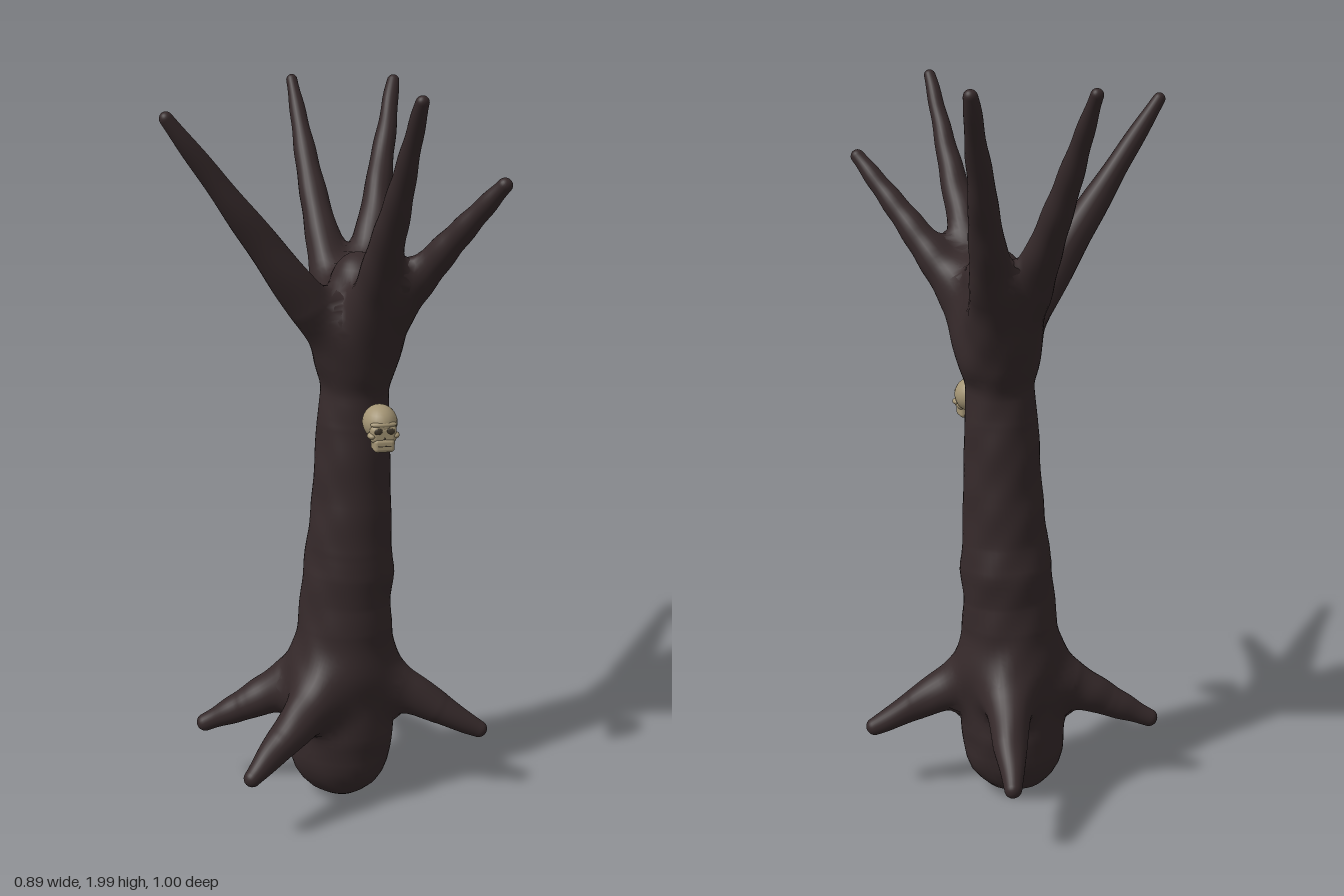
import * as THREE from 'three';
import { RoundedBoxGeometry } from 'three/addons/geometries/RoundedBoxGeometry.js';

const V = (x, y, z) => new THREE.Vector3(x, y, z);
const bark = new THREE.MeshStandardMaterial({ name: 'dark bark', color: 0x35292a });
const bone = new THREE.MeshStandardMaterial({ name: 'old bone', color: 0xa39474 });
const hollow = new THREE.MeshStandardMaterial({ name: 'socket shadow', color: 0x3f372b });

// Each limb is a chain of [x, y, z, radius]
const trunk = [
  [0.037, 0.147, 0.005, 0.143], [0.04, 0.21, 0.005, 0.147], [0.043, 0.4, 0, 0.14],
  [0.05, 0.52, 0, 0.133], [0.052, 0.6, 0, 0.126], [0.06, 0.68, 0, 0.127],
  [0.061, 0.76, 0.005, 0.118], [0.067, 0.9, 0.005, 0.108], [0.07, 1.1, 0.005, 0.099],
  [0.075, 1.22, 0.005, 0.09], [0.077, 1.36, 0, 0.086], [0.09, 1.485, -0.005, 0.08],
];
const branches = [
  [[0.06, 1.3, 0.01, 0.07], [-0.06, 1.44, 0.055, 0.058], [-0.24, 1.68, 0.09, 0.038], [-0.425, 1.925, 0.125, 0.018]],
  [[0.07, 1.3, -0.03, 0.07], [0.04, 1.47, -0.14, 0.056], [0.02, 1.72, -0.31, 0.036], [0, 1.98, -0.482, 0.016]],
  [[0.09, 1.3, -0.03, 0.07], [0.14, 1.47, -0.13, 0.056], [0.205, 1.72, -0.27, 0.037], [0.28, 1.98, -0.417, 0.018]],
  [[0.08, 1.3, 0.03, 0.07], [0.09, 1.47, 0.14, 0.056], [0.105, 1.72, 0.31, 0.036], [0.117, 1.98, 0.482, 0.016]],
  [[0.09, 1.3, 0.02, 0.07], [0.16, 1.45, 0.12, 0.056], [0.26, 1.62, 0.25, 0.036], [0.355, 1.775, 0.37, 0.019]],
];
const roots = [
  [[0.05, 0.41, 0, 0.09], [-0.1, 0.33, -0.045, 0.066], [-0.22, 0.265, -0.07, 0.047], [-0.338, 0.203, -0.1, 0.024]],
  [[0.05, 0.41, 0, 0.09], [0.18, 0.34, 0.04, 0.066], [0.3, 0.27, 0.075, 0.046], [0.42, 0.202, 0.107, 0.024]],
  [[0.03, 0.41, 0.02, 0.09], [-0.07, 0.33, 0.12, 0.066], [-0.165, 0.265, 0.19, 0.047], [-0.26, 0.203, 0.258, 0.025]],
  [[0.06, 0.41, -0.02, 0.09], [0.1, 0.34, -0.14, 0.066], [0.135, 0.27, -0.255, 0.046], [0.165, 0.203, -0.367, 0.024]],
];
const limbs = [trunk, ...branches, ...roots];

// Distance from a point to a tapered chain
function chainDistance(p, chain) {
  let best = Infinity;
  for (let i = 1; i < chain.length; i++) {
    const a = chain[i - 1], b = chain[i];
    const dx = b[0] - a[0], dy = b[1] - a[1], dz = b[2] - a[2];
    let t = ((p.x - a[0]) * dx + (p.y - a[1]) * dy + (p.z - a[2]) * dz) / (dx * dx + dy * dy + dz * dz);
    t = Math.min(1, Math.max(0, t));
    const d = Math.hypot(p.x - a[0] - dx * t, p.y - a[1] - dy * t, p.z - a[2] - dz * t);
    best = Math.min(best, d - a[3] - (b[3] - a[3]) * t);
  }
  return best;
}

// All limbs melted together, with slight bark ripples
function field(p) {
  const k = 0.07;
  let d = chainDistance(p, trunk);
  for (let i = 1; i < limbs.length; i++) {
    const e = chainDistance(p, limbs[i]);
    const h = Math.max(k - Math.abs(d - e), 0) / k;
    d = Math.min(d, e) - h * h * k * 0.25;
  }
  return d + 0.002 * Math.sin(p.y * 38 + p.x * 25) * Math.sin(p.z * 31 + p.x * 27 + 1);
}

function fieldNormal(p) {
  const e = 0.006;
  const slope = (v) => field(p.clone().add(v)) - field(p.clone().sub(v));
  return V(slope(V(e, 0, 0)), slope(V(0, e, 0)), slope(V(0, 0, e))).normalize();
}

// Skin one chain: rings of rays are stretched from its axis to the melted surface
function limbMesh(name, chain, rings, sides) {
  const curve = new THREE.CatmullRomCurve3(chain.map((c) => V(c[0], c[1], c[2])));
  const start = curve.getTangentAt(0), end = curve.getTangentAt(1);
  const rows = [], capSteps = 7;
  for (let i = 0; i < capSteps; i++) rows.push([0, -Math.PI / 2 * (1 - i / capSteps)]);
  for (let i = 0; i <= rings; i++) rows.push([i / rings, 0]);
  for (let i = 1; i <= capSteps; i++) rows.push([1, Math.PI / 2 * i / capSteps]);
  const positions = [], normals = [], index = [];
  const ref = Math.abs(start.y) > 0.95 ? V(0, 0, 1) : V(0, 1, 0);
  rows.forEach(([u, tilt], r) => {
    const centre = curve.getPointAt(u);
    const axis = u === 0 ? start : u === 1 ? end : curve.getTangentAt(u);
    const side = V().crossVectors(ref, axis).normalize();
    const up = V().crossVectors(axis, side);
    const f = curve.getUtoTmapping(u) * (chain.length - 1);
    const n = Math.min(chain.length - 2, Math.floor(f));
    const limit = THREE.MathUtils.lerp(chain[n][3], chain[n + 1][3], f - n) + 0.05;
    for (let s = 0; s <= sides; s++) {
      const a = s / sides * Math.PI * 2;
      const ray = side.clone().multiplyScalar(Math.cos(a)).addScaledVector(up, Math.sin(a))
        .multiplyScalar(Math.cos(tilt)).addScaledVector(axis, Math.sin(tilt));
      const p = centre.clone();
      let t = 0;
      for (let q = 0; q < 22 && t < limit; q++) {
        t = Math.min(limit, Math.max(0, t - field(p) * 0.9));
        p.copy(centre).addScaledVector(ray, t);
      }
      positions.push(p.x, p.y, p.z);
      normals.push(...fieldNormal(p).toArray());
      if (r && s) {
        const d = r * (sides + 1) + s, c = d - 1, b = d - sides - 1, e = b - 1;
        index.push(e, b, c, b, d, c);
      }
    }
  });
  const geometry = new THREE.BufferGeometry();
  geometry.setAttribute('position', new THREE.Float32BufferAttribute(positions, 3));
  geometry.setAttribute('normal', new THREE.Float32BufferAttribute(normals, 3));
  geometry.setIndex(index);
  const mesh = new THREE.Mesh(geometry, bark);
  mesh.name = name;
  return mesh;
}

// Small skull fixed to the front of the trunk
function createSkull() {
  const skull = new THREE.Group();
  skull.name = 'skull';
  const add = (name, geometry, material, x, y, z) => {
    const mesh = new THREE.Mesh(geometry, material);
    mesh.name = name;
    mesh.position.set(x, y, z);
    skull.add(mesh);
    return mesh;
  };
  const ball = new THREE.SphereGeometry(1, 24, 16);
  add('cranium', ball, bone, 0, 0.008, -0.008).scale.set(0.046, 0.047, 0.055);
  add('face', new RoundedBoxGeometry(0.07, 0.05, 0.05, 3, 0.015), bone, 0, -0.014, 0.022);
  add('jaw', new RoundedBoxGeometry(0.056, 0.036, 0.05, 3, 0.01), bone, 0, -0.043, 0.026);
  add('brow', ball, bone, 0, 0.012, 0.034).scale.set(0.036, 0.009, 0.014);
  for (const s of [-1, 1]) {
    add('cheekbone', ball, bone, s * 0.031, -0.018, 0.03).scale.set(0.012, 0.009, 0.017);
    const eye = add('eyeSocket', ball, hollow, s * 0.0165, -0.004, 0.0465);
    eye.scale.set(0.011, 0.008, 0.003);
    eye.rotation.z = s * -0.25;
  }
  add('noseHole', new THREE.ConeGeometry(0.006, 0.012, 3), hollow, 0, -0.02, 0.0465).scale.z = 0.4;
  add('mouthLine', new THREE.BoxGeometry(0.036, 0.002, 0.002), hollow, 0, -0.043, 0.0508);
  skull.position.set(0.11, 1.133, 0.152);
  return skull;
}

export function createModel() {
  const model = new THREE.Group();
  model.name = 'deadTree';
  model.add(limbMesh('trunk', trunk, 90, 48));
  branches.forEach((b) => model.add(limbMesh('branch', b, 40, 24)));
  roots.forEach((r) => model.add(limbMesh('root', r, 30, 28)));
  model.add(createSkull());
  return model;
}
